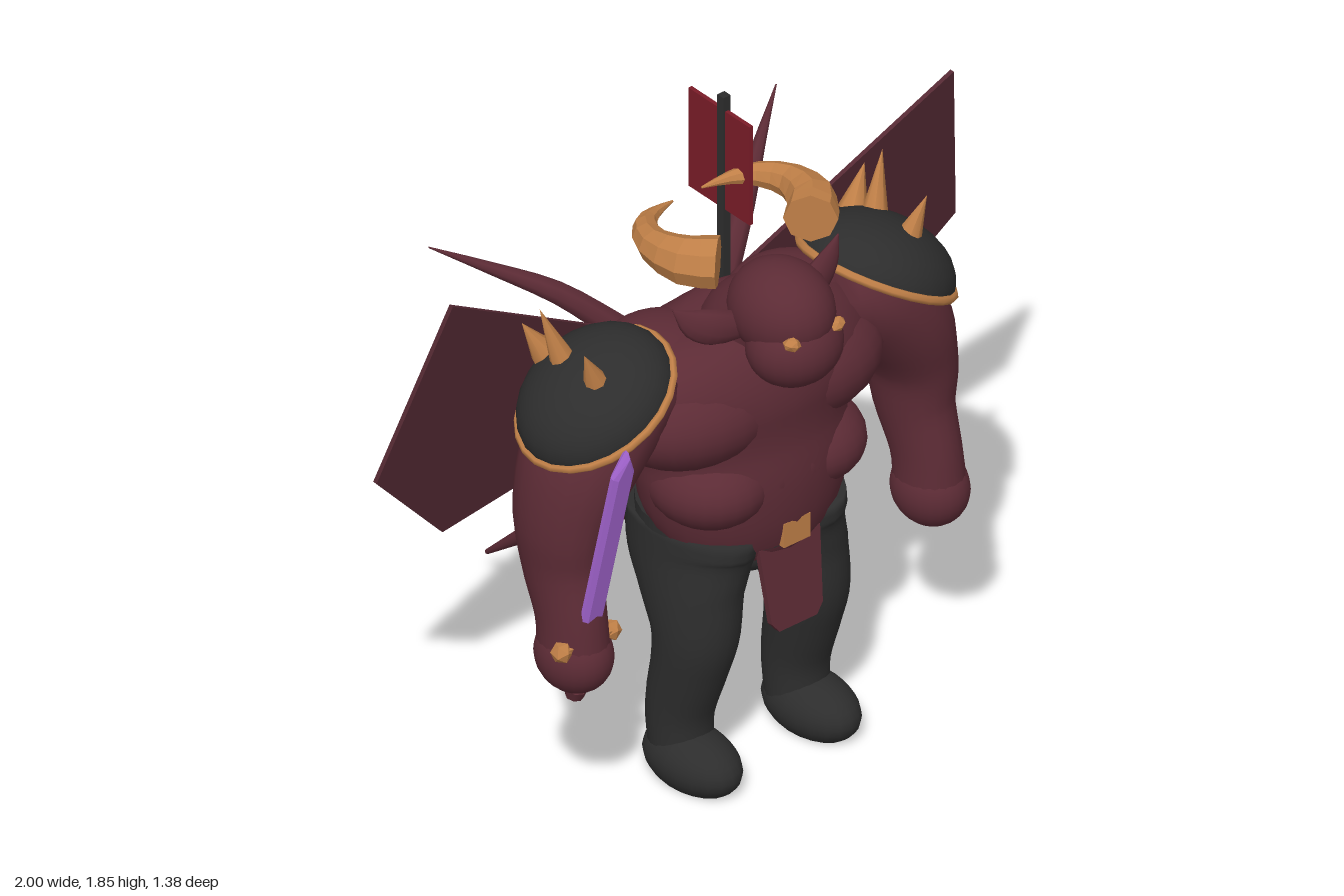
import * as THREE from 'three';

const mat = (name, color) => Object.assign(new THREE.MeshStandardMaterial({ color }), { name });

export function createModel() {
  const skin = mat('maroon skin', 0x5c2b35);
  const membrane = mat('wing membrane', 0x562a34);
  const black = mat('black leather', 0x2d2d2d);
  const horn = mat('horn and bronze', 0xbf7f47);
  const red = mat('banner red', 0x7a1c28);
  const purple = mat('purple blade', 0xa566d2);

  const root = new THREE.Group();
  root.name = 'hornedWarrior';

  const add = (name, geo, material, parent = root) => {
    const m = new THREE.Mesh(geo, material);
    m.name = name;
    parent.add(m);
    return m;
  };
  const flat = (geo) => {
    const g = geo.index ? geo.toNonIndexed() : geo;
    g.computeVertexNormals();
    return g;
  };

  // Smooth loft through stations [x, y, z, radiusU, radiusV]; ref sets the V axis
  const loft = (stations, { sides = 20, steps = 24, ref = [0, 0, 1], hard = false } = {}) => {
    const V = (a) => new THREE.Vector3(...a);
    const path = new THREE.CatmullRomCurve3(stations.map((s) => V(s.slice(0, 3))), false, 'catmullrom');
    const radii = new THREE.CatmullRomCurve3(stations.map((s) => V([s[3], s[4] ?? s[3], 0])), false, 'catmullrom');
    const pos = [], idx = [], r0 = V(ref);
    for (let i = 0; i <= steps; i++) {
      const t = i / steps, c = path.getPoint(t), r = radii.getPoint(t), T = path.getTangent(t);
      const u = T.clone().cross(r0).normalize(), v = u.clone().cross(T);
      for (let j = 0; j < sides; j++) {
        const a = (j / sides) * Math.PI * 2;
        const p = c.clone().addScaledVector(u, r.x * Math.cos(a)).addScaledVector(v, r.y * Math.sin(a));
        pos.push(p.x, p.y, p.z);
        if (i < steps) {
          const k = (j + 1) % sides, A = i * sides + j, B = i * sides + k;
          idx.push(A, A + sides, B, B, A + sides, B + sides);
        }
      }
    }
    // End caps
    const n = pos.length / 3, last = steps * sides;
    pos.push(...stations[0].slice(0, 3), ...stations[stations.length - 1].slice(0, 3));
    for (let j = 0; j < sides; j++) {
      const k = (j + 1) % sides;
      idx.push(n, j, k, n + 1, last + k, last + j);
    }
    const g = new THREE.BufferGeometry();
    g.setAttribute('position', new THREE.Float32BufferAttribute(pos, 3));
    g.setIndex(idx);
    g.computeVertexNormals();
    return hard ? flat(g) : g;
  };
  const mirror = (s, stations) => stations.map(([x, ...rest]) => [s * x, ...rest]);
  const ball = (name, c, r, material, parent = root) => {
    const m = add(name, new THREE.SphereGeometry(1, 24, 16).scale(...r), material, parent);
    m.position.set(...c);
    return m;
  };
  const plate = (points, depth) =>
    new THREE.ExtrudeGeometry(new THREE.Shape(points.map((p) => new THREE.Vector2(...p))), { depth, bevelEnabled: false })
      .translate(0, 0, -depth / 2);

  // Torso and neck
  add('torso', loft([
    [0, 0.76, 0.33, 0.265, 0.22], [0, 0.83, 0.35, 0.30, 0.23], [0, 0.93, 0.355, 0.32, 0.232],
    [0, 1.03, 0.345, 0.325, 0.228], [0, 1.13, 0.328, 0.385, 0.248], [0, 1.22, 0.315, 0.415, 0.245],
    [0, 1.31, 0.30, 0.35, 0.21], [0, 1.36, 0.29, 0.22, 0.13], [0, 1.375, 0.29, 0.03, 0.02],
  ], { sides: 28, steps: 32 }), skin);
  add('neck', loft([[0, 1.20, 0.31, 0.11], [0, 1.34, 0.38, 0.13], [0, 1.44, 0.47, 0.11]], { steps: 10 }), skin);

  // Head
  ball('cranium', [0, 1.46, 0.515], [0.135, 0.135, 0.158], skin);
  ball('muzzle', [0, 1.375, 0.568], [0.138, 0.118, 0.122], skin);

  for (const s of [1, -1]) {
    const side = new THREE.Group();
    side.name = s > 0 ? 'leftSide' : 'rightSide';
    root.add(side);

    // Chest and belly muscles
    ball('pectoral', [s * 0.17, 1.155, 0.345], [0.27, 0.165, 0.22], skin, side);
    ball('abdominal', [s * 0.05, 0.945, 0.455], [0.11, 0.135, 0.128], skin, side);
    ball('bellyLobe', [s * 0.165, 0.935, 0.41], [0.165, 0.122, 0.175], skin, side);
    ball('trapezius', [s * 0.22, 1.295, 0.27], [0.17, 0.085, 0.15], skin, side);

    // Face
    add('ear', loft(mirror(s, [[0.10, 1.42, 0.46, 0.04, 0.03], [0.17, 1.435, 0.45, 0.052, 0.028],
      [0.235, 1.465, 0.43, 0.04, 0.018], [0.285, 1.515, 0.41, 0.002, 0.002]]), { sides: 10, steps: 9 }), skin, side);
    const eye = add('eye', flat(new THREE.OctahedronGeometry(1, 1).scale(0.027, 0.021, 0.024)), horn, side);
    eye.position.set(s * 0.076, 1.44, 0.648);
    eye.rotation.z = s * 0.3;

    // Curved horn tapering behind the head
    add('horn', loft(mirror(s, [[0.16, 1.634, 0.445, 0.073], [0.22, 1.634, 0.38, 0.068],
      [0.237, 1.635, 0.275, 0.048], [0.195, 1.632, 0.19, 0.034], [0.13, 1.627, 0.15, 0.018], [0.05, 1.62, 0.13, 0.003]]),
    { sides: 8, steps: 10, ref: [0, 1, 0], hard: true }), horn, side);

    // Arm and fist
    add('arm', loft(mirror(s, [[0.30, 1.27, 0.31, 0.12, 0.14], [0.43, 1.24, 0.32, 0.15, 0.175],
      [0.54, 1.12, 0.328, 0.145, 0.175], [0.60, 0.97, 0.328, 0.115, 0.152], [0.607, 0.83, 0.338, 0.098, 0.13],
      [0.613, 0.69, 0.38, 0.088, 0.11], [0.615, 0.57, 0.395, 0.093, 0.108]])), skin, side);
    ball('fist', [s * 0.615, 0.57, 0.395], [0.10, 0.11, 0.117], skin, side);

    // Leg and boot
    add('leg', loft(mirror(s, [[0.20, 0.05, 0.345, 0.085, 0.09], [0.20, 0.20, 0.338, 0.09, 0.098],
      [0.195, 0.35, 0.372, 0.10, 0.112], [0.19, 0.47, 0.388, 0.11, 0.135], [0.18, 0.59, 0.36, 0.118, 0.175],
      [0.16, 0.69, 0.335, 0.13, 0.215], [0.15, 0.77, 0.33, 0.135, 0.225]])), black, side);
    const boot = new THREE.SphereGeometry(1, 20, 14).scale(0.103, 0.09, 0.167).translate(s * 0.205, 0.06, 0.395);
    const bp = boot.attributes.position;
    for (let i = 0; i < bp.count; i++) bp.setY(i, Math.max(0, bp.getY(i)));
    boot.computeVertexNormals();
    add('boot', boot, black, side);

    // Domed shoulder guard with bronze rim and underside
    const guard = new THREE.Group();
    guard.name = 'shoulderGuard';
    guard.position.set(s * 0.485, 1.285, 0.33);
    guard.rotation.z = -s * 0.51;
    side.add(guard);
    add('guardDome', new THREE.SphereGeometry(1, 24, 8, 0, Math.PI * 2, 0, Math.PI / 2).scale(0.23, 0.147, 0.208), black, guard);
    add('guardUnderside', new THREE.CircleGeometry(1, 24).rotateX(Math.PI / 2).scale(0.23, 1, 0.208), black, guard);
    add('guardRim', new THREE.TorusGeometry(0.228, 0.013, 6, 24).rotateX(Math.PI / 2).scale(1.01, 1, 0.92), horn, guard);

    // Guard spikes: base z, tip z, tip height
    for (const [bz, tz, ty] of [[0.395, 0.41, 1.505], [0.265, 0.228, 1.56], [0.18, 0.155, 1.48]]) {
      const a = new THREE.Vector3(s * 0.53, 1.37, bz), b = new THREE.Vector3(s * 0.592, ty, tz);
      const d = b.clone().sub(a);
      const spike = add('guardSpike', new THREE.ConeGeometry(0.042, d.length(), 8), horn, side);
      spike.position.copy(a).addScaledVector(d, 0.5);
      spike.quaternion.setFromUnitVectors(new THREE.Vector3(0, 1, 0), d.normalize());
    }

    // Flat wing panel leaning backward, with its bone
    const outline = [[0.865, 1.67], [0.12, 1.21], [0.345, 0.83], [0.70, 0.765], [1, 1.09]];
    const wing = plate(mirror(s, outline), 0.014);
    const wp = wing.attributes.position;
    for (let i = 0; i < wp.count; i++) wp.setZ(i, wp.getZ(i) + 0.19 - (1.67 - wp.getY(i)) * 0.262);
    add('wingPanel', flat(wing), membrane, side);
    add('wingBone', loft(mirror(s, [[0.10, 1.17, 0.12, 0.03], [0.19, 1.25, 0.06, 0.038], [0.32, 1.37, -0.02, 0.032],
      [0.46, 1.455, -0.12, 0.018], [0.60, 1.535, -0.215, 0.002]]), { sides: 8, steps: 12, ref: [0, 1, 0] }), skin, side);
  }

  // Hips, belt and buckle
  ball('hips', [0, 0.70, 0.33], [0.23, 0.10, 0.21], black);
  const belt = (name, r, y, h) =>
    add(name, new THREE.CylinderGeometry(r, r, h, 28).scale(1, 1, 0.85), black).position.set(0, y, 0.33);
  belt('belt', 0.286, 0.795, 0.034);
  belt('beltLowerBand', 0.276, 0.762, 0.034);
  add('buckle', new THREE.BoxGeometry(0.092, 0.075, 0.036), horn).position.set(0, 0.785, 0.562);

  // Front and back loincloth flaps
  const flap = [[-0.105, 0], [-0.088, -0.225], [-0.065, -0.255], [0.065, -0.255], [0.088, -0.225], [0.105, 0]];
  for (const [name, z, tilt] of [['frontFlap', 0.54, -0.14], ['backFlap', 0.125, 0.16]]) {
    const f = add(name, plate(flap, 0.018), skin);
    f.position.set(0, 0.745, z);
    f.rotation.x = tilt;
  }

  // Tail
  add('tail', loft([[0, 0.70, 0.18, 0.05], [0, 0.66, 0.09, 0.068], [0, 0.562, -0.07, 0.06], [0, 0.395, -0.31, 0.041],
    [0, 0.235, -0.5, 0.025], [0, 0.075, -0.685, 0.007]], { sides: 10, steps: 20, ref: [1, 0, 0] }), skin);

  // Sword held upright in the right fist, leaning forward
  const sword = new THREE.Group();
  sword.name = 'sword';
  sword.position.set(-0.615, 0.63, 0.445);
  sword.rotation.x = 0.24;
  root.add(sword);
  const blade = [[-0.036, 0], [0.036, 0], [0.036, 0.62], [0, 0.705], [-0.036, 0.62]];
  add('blade', new THREE.ExtrudeGeometry(new THREE.Shape(blade.map((p) => new THREE.Vector2(...p))),
    { depth: 0.012, bevelThickness: 0.01, bevelSize: 0.012, bevelOffset: -0.012, bevelSegments: 1 }).translate(0, 0, -0.006), purple, sword);
  add('crossguard', new THREE.BoxGeometry(0.18, 0.032, 0.035), horn, sword);
  for (const s of [1, -1]) {
    add('guardKnob', flat(new THREE.IcosahedronGeometry(0.031, 0)), horn, sword).position.x = s * 0.085;
  }
  add('grip', new THREE.CylinderGeometry(0.026, 0.026, 0.2, 8), skin, sword).position.y = -0.09;
  add('pommel', new THREE.CylinderGeometry(0.032, 0.026, 0.03, 8), skin, sword).position.y = -0.185;

  // Back banner
  add('bannerPole', new THREE.BoxGeometry(0.025, 0.87, 0.025), black).position.set(0.157, 1.415, 0.095);
  add('banner', new THREE.BoxGeometry(0.012, 0.31, 0.25), red).position.set(0.157, 1.65, 0.082);

  return root;
}
